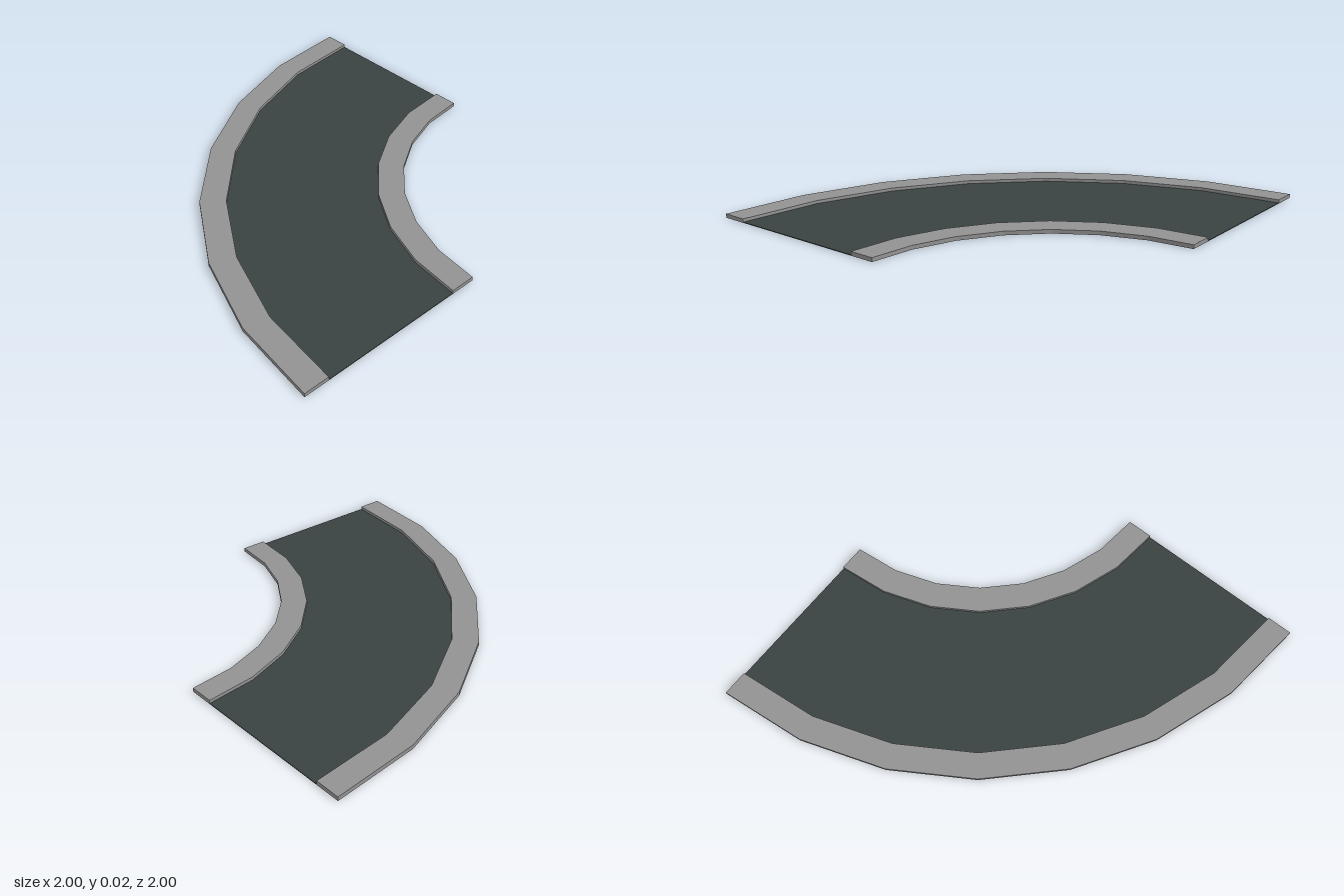
import * as THREE from 'three';

const SEGMENTS = 7;

// Quarter turn about (1, 1), from a closed counter-clockwise (radius, height) section
function sweptPart(name, section, material) {
  const part = new THREE.Group();
  part.name = name;
  part.position.set(1, 0, 1);

  const ring = section.concat([section[0]]).map(([r, y]) => new THREE.Vector2(r, y));
  const lathe = new THREE.LatheGeometry(ring, SEGMENTS, Math.PI, Math.PI / 2).toNonIndexed();
  lathe.computeVertexNormals();
  const body = new THREE.Mesh(lathe, material);
  body.name = name + 'Body';

  // Flat ends facing +z and +x
  const cap = (sign) => new THREE.ShapeGeometry(
    new THREE.Shape(section.map(([r, y]) => new THREE.Vector2(sign * r, y))));
  const frontEnd = new THREE.Mesh(cap(-1), material);
  frontEnd.name = name + 'FrontEnd';
  const sideEnd = new THREE.Mesh(cap(1), material);
  sideEnd.name = name + 'SideEnd';
  sideEnd.rotation.y = Math.PI / 2;

  part.add(body, frontEnd, sideEnd);
  return part;
}

export function createModel() {
  const concrete = new THREE.MeshStandardMaterial({ color: 0x929292 });
  concrete.name = 'concrete grey';
  const asphalt = new THREE.MeshStandardMaterial({ color: 0x3a4242 });
  asphalt.name = 'asphalt';

  const inner = 1, roadInner = 1.13, roadOuter = 1.87, outer = 2;
  const floor = 0.002, roadTop = 0.004, kerbTop = 0.02;

  const model = new THREE.Group();
  model.name = 'curvedRoad';

  // Base slab with a raised kerb along each edge
  model.add(sweptPart('kerbs', [
    [inner, 0], [outer, 0], [outer, kerbTop], [roadOuter, kerbTop],
    [roadOuter, floor], [roadInner, floor], [roadInner, kerbTop], [inner, kerbTop],
  ], concrete));

  // Road surface between the kerbs
  model.add(sweptPart('roadSurface', [
    [roadInner, floor], [roadOuter, floor], [roadOuter, roadTop], [roadInner, roadTop],
  ], asphalt));

  return model;
}
